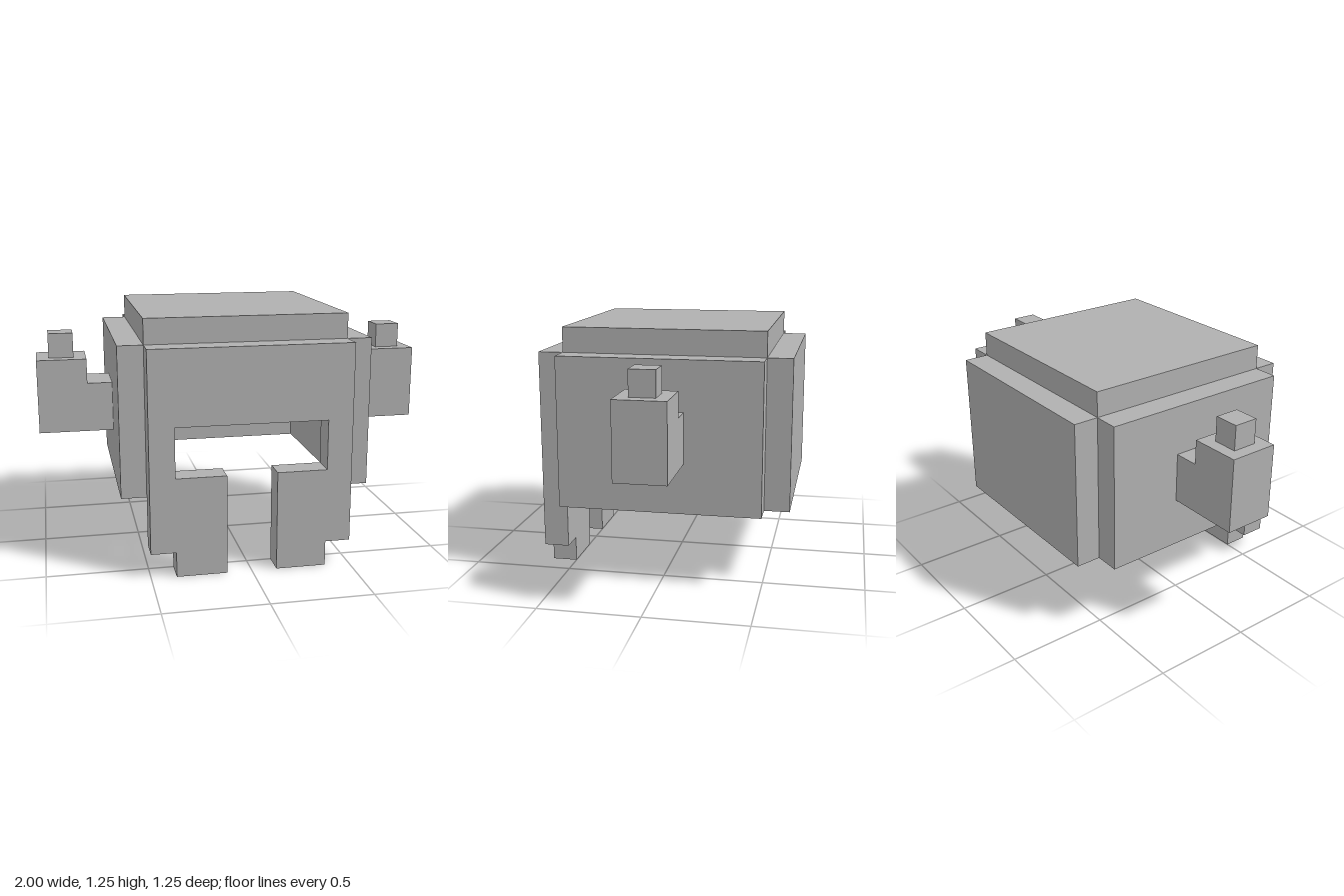
import * as THREE from 'three';

export function createModel() {
  const helmet = new THREE.Group();
  helmet.name = 'hornedHelmet';
  const steel = new THREE.MeshStandardMaterial({ color: 0xb0b0b0 });
  steel.name = 'steelGrey';

  const T = 0.125; // plate thickness

  function add(name, geometry, x, y, z, parent = helmet) {
    const mesh = new THREE.Mesh(geometry, steel);
    mesh.name = name;
    mesh.position.set(x, y, z);
    parent.add(mesh);
    return mesh;
  }
  const box = (w, h, d) => new THREE.BoxGeometry(w, h, d);
  const extrude = (points, depth) => new THREE.ExtrudeGeometry(
    new THREE.Shape(points.map(([x, y]) => new THREE.Vector2(x, y))),
    { depth, bevelEnabled: false });

  // Hollow shell, open at the bottom, with plates meeting at their edges
  add('crownPlate', box(1, T, 1), 0, 1.1875, 0);
  add('backPlate', box(1, 0.75, T), 0, 0.75, -0.5625);

  // Face plate: eye opening above a gap between two stepped cheek guards
  const half = [
    [0.5, 1.125], [0.5, 0.125], [0.375, 0.125], [0.375, 0],
    [0.125, 0], [0.125, 0.5], [0.375, 0.5], [0.375, 0.75],
  ];
  const mirrored = half.map(([x, y]) => [-x, y]).reverse();
  add('facePlate', extrude([...half, ...mirrored], T), 0, 0, 0.5);

  // Side plates and horns
  const hornProfile = [
    [0.625, 0.625], [1, 0.625], [1, 1], [0.75, 1], [0.75, 0.875], [0.625, 0.875],
  ];
  for (const [label, s] of [['left', 1], ['right', -1]]) {
    add(label + 'SidePlate', box(T, 0.75, 1), s * 0.5625, 0.75, 0);

    const horn = new THREE.Group();
    horn.name = label + 'Horn';
    horn.rotation.y = s > 0 ? 0 : Math.PI;
    add(label + 'HornBase', extrude(hornProfile, 0.25), 0, 0, -0.125, horn);
    add(label + 'HornTip', box(T, T, T), 0.875, 1.0625, 0, horn);
    helmet.add(horn);
  }

  return helmet;
}
